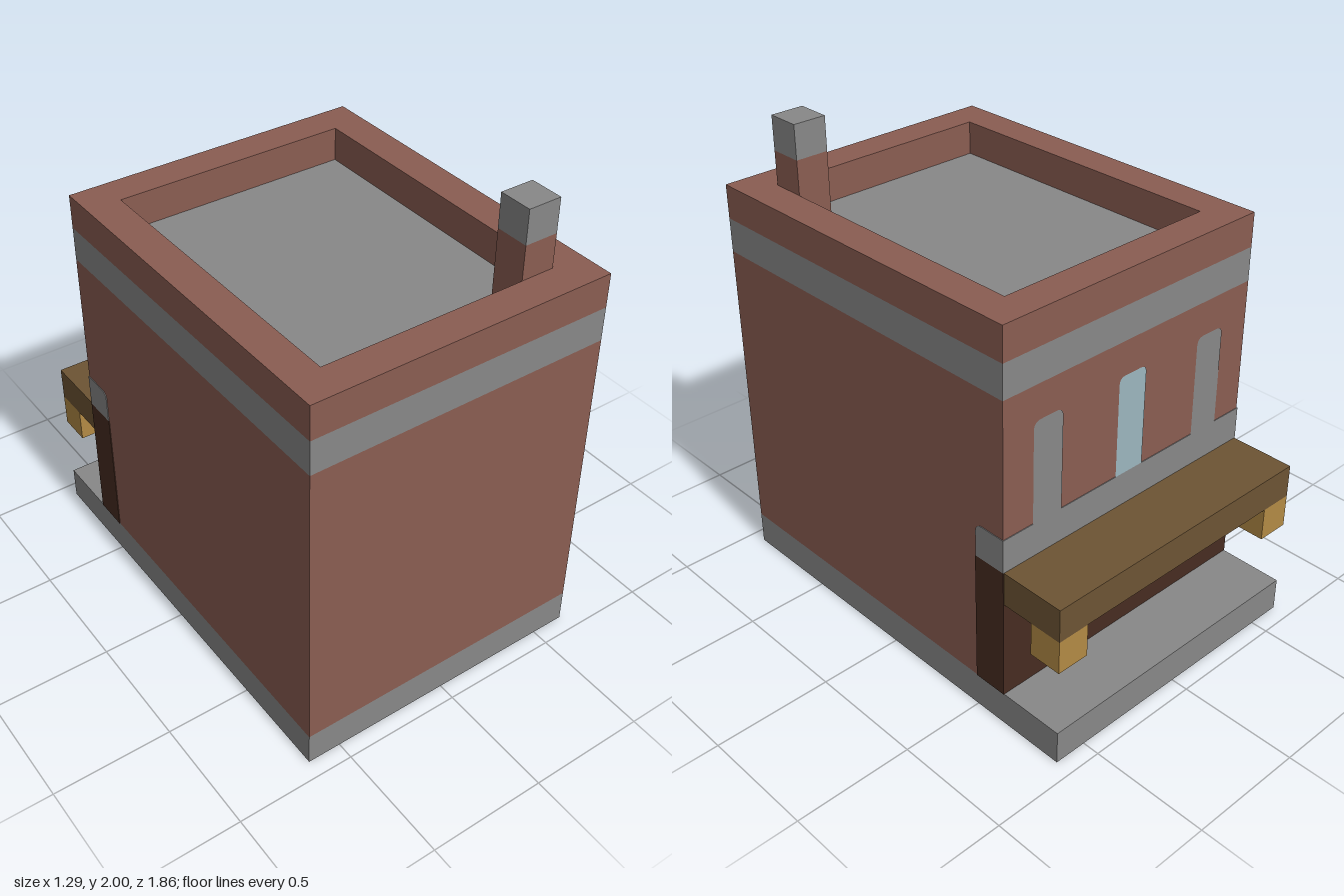
import * as THREE from 'three';

const U = 1 / 7; // one building block
const PROUD = 0.003; // how far painted plates stand off the wall

const mat = (name, color) => Object.assign(new THREE.MeshStandardMaterial({ color }), { name });

export function createModel() {
  const group = new THREE.Group();
  const brick = mat('brick', 0x8a5d52);
  const stone = mat('stone', 0x888888);
  const darkWood = mat('dark wood', 0x472c21);
  const canopyWood = mat('canopy wood', 0x6d5434);
  const lantern = mat('lantern gold', 0xb38a45);
  const glass = mat('window glass', 0x9cb6bf);

  const add = (name, geometry, material) => {
    const mesh = new THREE.Mesh(geometry, material);
    mesh.name = name;
    group.add(mesh);
    return mesh;
  };

  // Box between two corners, in blocks; grow swells x and z a little
  const block = (name, material, [x0, y0, z0], [x1, y1, z1], grow = 0) => {
    const g = new THREE.BoxGeometry((x1 - x0) * U + 2 * grow, (y1 - y0) * U, (z1 - z0) * U + 2 * grow);
    add(name, g, material).position.set((x0 + x1) / 2 * U, (y0 + y1) / 2 * U, (z0 + z1) / 2 * U);
  };

  // Rectangle in blocks with a corner radius for top and bottom
  const panel = (x0, y0, x1, y1, top, bottom) => {
    const [a, b, c, d] = [x0 * U, y0 * U, x1 * U, y1 * U];
    const s = new THREE.Shape();
    s.moveTo(a + bottom, b);
    s.lineTo(c - bottom, b);
    s.quadraticCurveTo(c, b, c, b + bottom);
    s.lineTo(c, d - top);
    s.quadraticCurveTo(c, d, c - top, d);
    s.lineTo(a + top, d);
    s.quadraticCurveTo(a, d, a, d - top);
    s.lineTo(a, b + bottom);
    s.quadraticCurveTo(a, b, a + bottom, b);
    return s;
  };

  // Flat plate on the shop wall, facing -z
  const wallPlate = (name, material, shape, offset) => {
    const mesh = add(name, new THREE.ShapeGeometry(shape, 6), material);
    mesh.rotation.y = Math.PI;
    mesh.position.z = -4.5 * U - offset;
  };

  // Base, walls and roof slab
  block('base', stone, [-4.5, 0, -6.5], [4.5, 1, 6.5]);
  block('walls', brick, [-4.5, 1, -4.5], [4.5, 10, 6.5]);
  block('roofSlab', stone, [-4.5, 10, -4.5], [4.5, 11, 6.5]);

  // Parapet ring around the sunken roof
  const ring = panel(-4.5, -6.5, 4.5, 4.5, 0, 0);
  ring.holes.push(panel(-3.5, -5.5, 3.5, 3.5, 0, 0));
  const parapet = add('parapet', new THREE.ExtrudeGeometry(ring, { depth: U, bevelEnabled: false }), brick);
  parapet.rotation.x = -Math.PI / 2;
  parapet.position.y = 11 * U;

  // Chimney with stone cap
  block('chimney', brick, [2.5, 11, 4.5], [3.5, 13, 5.5]);
  block('chimneyCap', stone, [2.5, 13, 4.5], [3.5, 14, 5.5]);

  // Shopfront and the lintel above it, wrapping round the corners
  block('shopfront', darkWood, [-4.5, 1, -4.5], [4.5, 5, -3.5], PROUD);
  const r = 0.035;
  const profile = new THREE.Shape();
  profile.moveTo(3.5 * U, 5 * U);
  profile.lineTo(4.5 * U + PROUD, 5 * U);
  profile.lineTo(4.5 * U + PROUD, 6 * U);
  profile.lineTo(3.5 * U + r, 6 * U);
  profile.quadraticCurveTo(3.5 * U, 6 * U, 3.5 * U, 6 * U - r);
  const length = 9 * U + 2 * PROUD;
  const lintel = add('lintel', new THREE.ExtrudeGeometry(profile, { depth: length, bevelEnabled: false }), stone);
  lintel.rotation.y = Math.PI / 2;
  lintel.position.x = -length / 2;

  // Shop windows and upper windows
  for (const side of [-1, 1]) {
    const x = side * 2;
    wallPlate('shopWindow', glass, panel(x - 1.5, 2, x + 1.5, 4, 0.03, 0.03), 2 * PROUD);
    wallPlate('shutteredWindow', stone, panel(side * 3 - 0.5, 5.9, side * 3 + 0.5, 9, 0.035, 0), PROUD);
  }
  wallPlate('upperWindow', glass, panel(-0.5, 6, 0.5, 9, 0.03, 0), PROUD);

  // Canopy with a lantern under each outer corner
  block('canopy', canopyWood, [-4.5, 4, -6.5], [4.5, 5, -4.5]);
  for (const x of [-4.5, 3.5]) block('lantern', lantern, [x, 3, -6.5], [x + 1, 4, -5.5]);

  // Dark floor panel on the underside
  const floor = add('undersidePanel', new THREE.ShapeGeometry(panel(-3.5, -3.5, 3.5, 5.5, 0.03, 0.03), 6), darkWood);
  floor.rotation.x = Math.PI / 2;
  floor.position.y = -0.002;

  return group;
}
